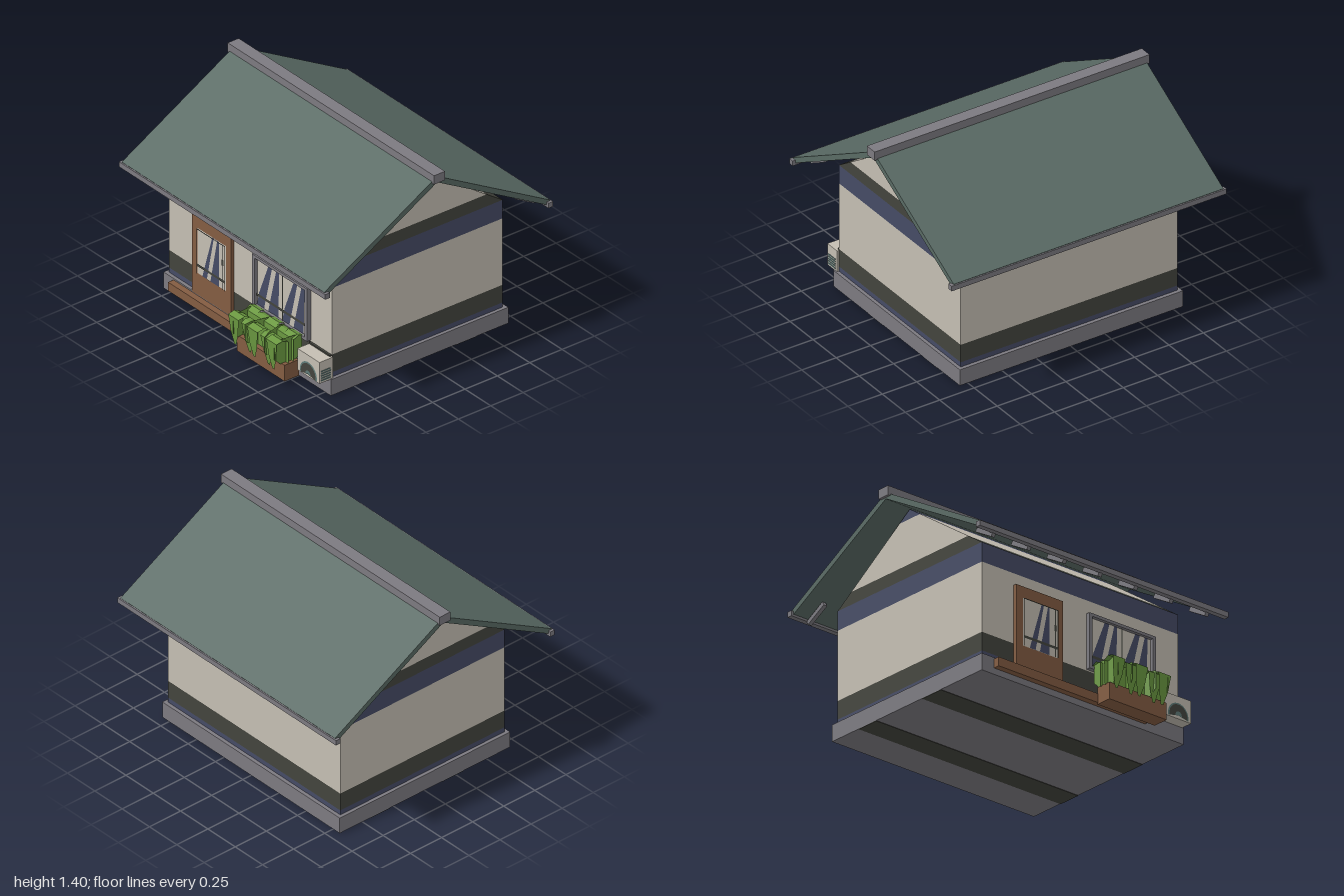
import * as THREE from 'three';

const mat = (name, color) => {
  const m = new THREE.MeshStandardMaterial({ color, side: THREE.DoubleSide });
  m.name = name;
  return m;
};

export function createModel() {
  const house = new THREE.Group();
  house.name = 'house';
  const cream = mat('cream plaster', 0xc4beb2);
  const navy = mat('navy', 0x454b65);
  const dark = mat('dark olive', 0x43443d);
  const grey = mat('grey concrete', 0x7c7a80);
  const roofGreen = mat('roof green', 0x596a64);
  const wood = mat('brown wood', 0x835c42);
  const leafGreen = mat('leaf green', 0x6a9840);
  const teal = mat('teal', 0x5f7b78);

  const add = (name, geo, material, parent = house) => {
    const m = new THREE.Mesh(geo, material);
    m.name = name;
    parent.add(m);
    return m;
  };
  // box given by its limits on each axis
  const box = (name, material, x0, x1, y0, y1, z0, z1, parent) => {
    const m = add(name, new THREE.BoxGeometry(x1 - x0, y1 - y0, z1 - z0), material, parent);
    m.position.set((x0 + x1) / 2, (y0 + y1) / 2, (z0 + z1) / 2);
    return m;
  };
  const polygon = pts => new THREE.Shape(pts.map(p => new THREE.Vector2(p[0], p[1])));
  // outline in (z, y), symmetric in z, extruded along x
  const prism = (name, material, pts, x0, x1) => {
    const geo = new THREE.ExtrudeGeometry(polygon(pts), { depth: x1 - x0, bevelEnabled: false });
    geo.rotateY(Math.PI / 2).translate(x0, 0, 0);
    return add(name, geo, material);
  };
  // flat painted detail facing the front
  const decal = (name, material, pts, z, parent) => {
    const m = add(name, new THREE.ShapeGeometry(polygon(pts)), material, parent);
    m.position.z = z;
    return m;
  };
  const rect = (x0, x1, y0, y1) => [[x0, y0], [x1, y0], [x1, y1], [x0, y1]];

  // foundation with two dark strips underneath
  box('foundation', grey, -0.813, 0.81, 0.003, 0.115, -0.685, 0.685);
  for (const [a, b] of [[-0.44, -0.28], [0.14, 0.31]])
    box('foundationStrip', dark, -0.813, 0.81, 0, 0.004, a, b);

  // walls in stacked colour bands, narrowing above the eaves to the gable
  const halfDepth = y => (y <= 0.87 ? 0.66 : (0.66 * (1.32 - y)) / 0.45);
  const bands = [
    [0.115, 0.148, navy], [0.148, 0.272, dark], [0.272, 0.74, cream], [0.74, 0.87, navy],
    [0.87, 0.955, dark], [0.955, 1.255, cream], [1.255, 1.319, navy]];
  for (const [y0, y1, m] of bands) {
    const a = halfDepth(y0), b = halfDepth(y1);
    prism('wallBand', m, [[-a, y0], [a, y0], [b, y1], [-b, y1]], -0.79, 0.787);
  }

  // roof, ridge cap, eave boards and rafter ends
  prism('roof', roofGreen,
    [[0, 1.372], [-0.872, 0.88], [-0.855, 0.85], [0, 1.33], [0.855, 0.85], [0.872, 0.88]], -0.982, 0.98);
  box('ridgeCap', grey, -1, 1, 1.338, 1.4, -0.045, 0.04);
  for (const s of [-1, 1]) {
    box('eaveBoard', grey, -1, 1, 0.841, 0.876, s * 0.862 - 0.018, s * 0.862 + 0.018);
    for (let i = -3; i <= 3; i++) {
      const r = add('rafterEnd', new THREE.BoxGeometry(0.028, 0.028, 0.165), grey);
      r.position.set(i * 0.286, 0.872, s * 0.772);
      r.rotation.x = s * Math.atan(0.565);
    }
  }

  // door
  const door = new THREE.Group();
  door.name = 'door';
  house.add(door);
  box('doorPanel', wood, -0.535, -0.16, 0.11, 0.66, 0.64, 0.685, door);
  decal('doorGlass', cream, rect(-0.482, -0.205, 0.265, 0.582), 0.687, door);
  decal('doorReflection', navy, [[-0.43, 0.265], [-0.27, 0.265], [-0.27, 0.582], [-0.335, 0.582]], 0.689, door);
  decal('doorGlint', cream, [[-0.385, 0.265], [-0.35, 0.265], [-0.285, 0.582], [-0.318, 0.582]], 0.691, door);
  decal('doorRail', dark, rect(-0.482, -0.205, 0.318, 0.335), 0.693, door);
  decal('doorBar', dark, rect(-0.232, -0.224, 0.265, 0.582), 0.693, door);
  decal('doorHandle', dark, rect(-0.238, -0.218, 0.435, 0.475), 0.694, door);
  for (const [a, b, c, d] of [[-0.482, -0.476, 0.265, 0.582], [-0.211, -0.205, 0.265, 0.582], [-0.482, -0.205, 0.576, 0.582]])
    decal('doorGlassEdge', dark, rect(a, b, c, d), 0.694, door);

  // window with frame and two panes
  const win = new THREE.Group();
  win.name = 'window';
  house.add(win);
  for (const [a, b, c, d] of [[0.05, 0.075, 0.28, 0.65], [0.56, 0.585, 0.28, 0.65], [0.075, 0.56, 0.63, 0.65], [0.075, 0.56, 0.28, 0.3]])
    box('windowFrame', grey, a, b, c, d, 0.65, 0.69, win);
  decal('windowGlass', cream, rect(0.07, 0.565, 0.285, 0.64), 0.667, win);
  for (const x of [0.075, 0.32]) {
    decal('windowReflection', navy,
      [[x, 0.3], [x + 0.205, 0.3], [x + 0.215, 0.63], [x + 0.115, 0.63], [x + 0.02, 0.39]], 0.669, win);
    decal('windowGlint', cream, [[x + 0.07, 0.3], [x + 0.11, 0.3], [x + 0.19, 0.63], [x + 0.15, 0.63]], 0.671, win);
  }
  decal('windowBar', dark, rect(0.321, 0.33, 0.3, 0.63), 0.673, win);
  decal('windowRail', dark, rect(0.075, 0.56, 0.362, 0.38), 0.673, win);

  // step and planter
  box('step', wood, -0.715, 0.5, 0.045, 0.105, 0.66, 0.728);
  box('planter', wood, 0.085, 0.545, 0.035, 0.148, 0.722, 0.832);

  // drooping leaf: a ribbon through (z, y, half width) points
  const leaf = (x, pts, lean) => {
    const pos = [], idx = [];
    pts.forEach(([z, y, w], i) => {
      const cx = x + lean * (i / (pts.length - 1));
      pos.push(cx - w, y, z, cx + w, y, z);
      if (i) idx.push(2 * i - 2, 2 * i - 1, 2 * i, 2 * i - 1, 2 * i + 1, 2 * i);
    });
    const g = new THREE.BufferGeometry();
    g.setAttribute('position', new THREE.Float32BufferAttribute(pos, 3));
    g.setIndex(idx);
    const flat = g.toNonIndexed();
    flat.computeVertexNormals();
    add('leaf', flat, leafGreen);
  };
  for (let i = 0; i < 5; i++) {
    const x = 0.125 + i * 0.092, k = (i % 2) * 0.012;
    leaf(x, [[0.8, 0.14, 0.05], [0.8, 0.3, 0.052], [0.84, 0.318 - k, 0.052],
      [0.885 - k, 0.305 - k, 0.05], [0.875 - k, 0.19, 0.035], [0.865 - k, 0.105, 0.01]], (i % 2 ? 0.02 : -0.015));
    leaf(x, [[0.76, 0.14, 0.05], [0.76, 0.3, 0.05], [0.72, 0.318 - k, 0.05],
      [0.685, 0.305 - k, 0.045], [0.685, 0.24, 0.02]], 0);
  }
  // upright leaves across the planter
  for (const [x, turn] of [[0.1, 0.12], [0.25, -0.25], [0.39, 0.25], [0.52, -0.12]]) {
    const m = add('crossLeaf', new THREE.ShapeGeometry(polygon(
      [[-0.1, 0.19], [-0.055, 0.145], [0.055, 0.145], [0.1, 0.19], [0.1, 0.305], [0.05, 0.318], [-0.05, 0.318], [-0.1, 0.305]])), leafGreen);
    m.position.set(x, 0, 0.785);
    m.rotation.y = Math.PI / 2 + turn;
  }

  // outdoor air unit with fan grille
  const unit = new THREE.Group();
  unit.name = 'airUnit';
  house.add(unit);
  box('unitBody', cream, 0.585, 0.8, 0.112, 0.262, 0.66, 0.765, unit);
  box('unitLid', dark, 0.585, 0.785, 0.262, 0.272, 0.655, 0.675, unit);
  const half = (name, r, m, z) => {
    const d = add(name, new THREE.CircleGeometry(r, 24, -0.2, Math.PI + 0.4), m, unit);
    d.position.set(0.695, 0.133, z);
  };
  half('fanRing', 0.082, teal, 0.767);
  half('fanGrille', 0.072, dark, 0.769);
  half('fanHub', 0.025, teal, 0.771);
  for (let i = 0; i < 5; i++)
    box('sideVent', teal, 0.799, 0.803, 0.125 + i * 0.016, 0.133 + i * 0.016, 0.68, 0.755, unit);

  return house;
}
